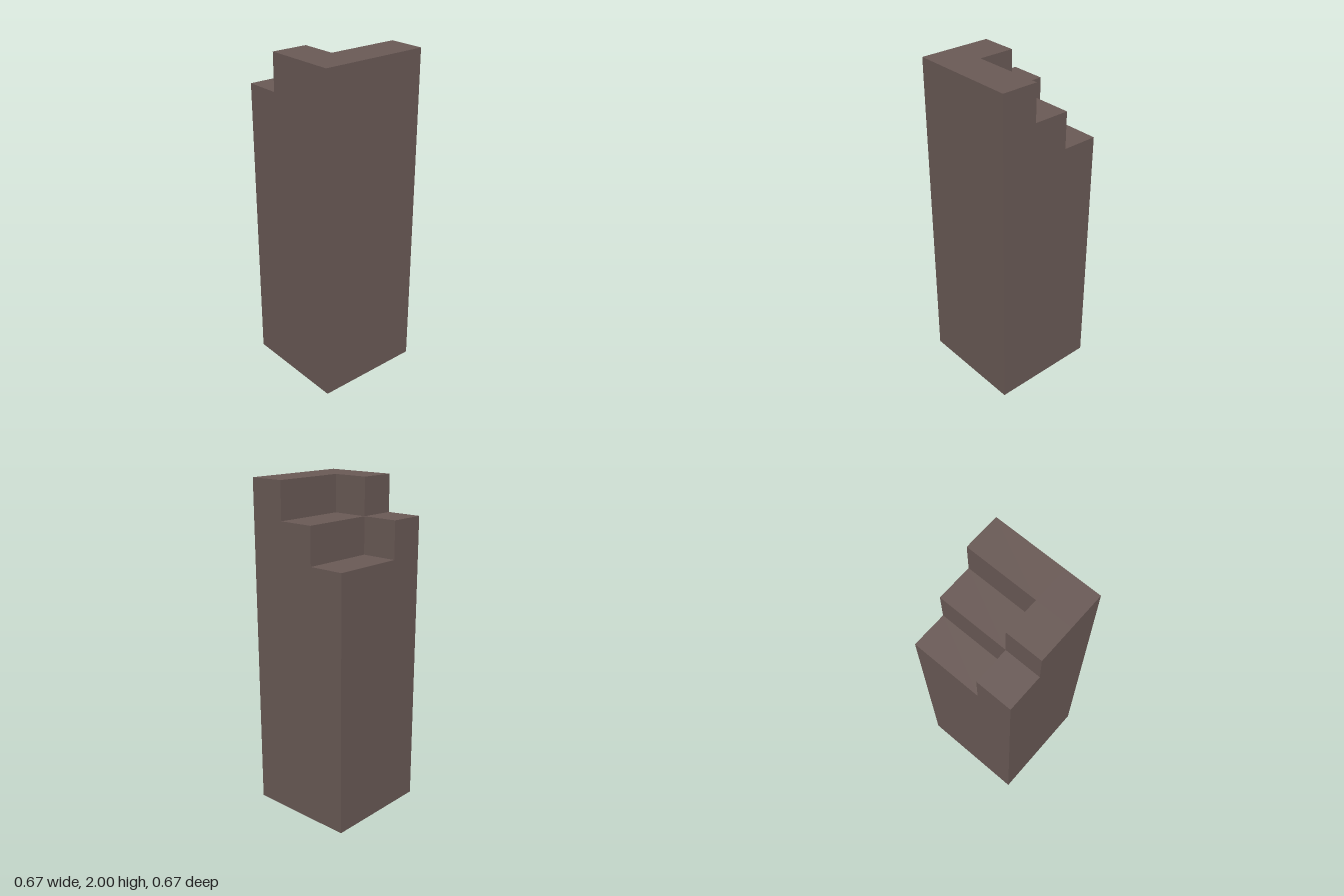
import * as THREE from 'three';

const HALF = 1 / 3; // half the pillar's width
const STEP = 2 / 9; // one step's width and height
const FULL = 2;

// Grid lines of the footprint, and the height of each cell (rows from back to front)
const XS = [-HALF, -HALF + STEP, HALF - STEP, HALF];
const ZS = [-HALF, HALF - STEP, HALF];
const HEIGHTS = [
  [FULL - 2 * STEP, FULL - STEP, FULL],
  [FULL - STEP, FULL, FULL],
];

// Closed solid with a stepped top: caps for each cell, walls where a cell stands above its neighbour
function steppedSolid() {
  const points = [];
  const quad = (a, b, c, d) => points.push(...a, ...b, ...c, ...a, ...c, ...d);
  const heightAt = (i, j) => HEIGHTS[j]?.[i] ?? 0;

  HEIGHTS.forEach((row, j) => row.forEach((top, i) => {
    const [x0, x1, z0, z1] = [XS[i], XS[i + 1], ZS[j], ZS[j + 1]];
    const wall = (low, xa, za, xb, zb) => {
      if (low < top) quad([xa, low, za], [xb, low, zb], [xb, top, zb], [xa, top, za]);
    };
    quad([x0, top, z1], [x1, top, z1], [x1, top, z0], [x0, top, z0]);
    wall(heightAt(i + 1, j), x1, z1, x1, z0);
    wall(heightAt(i - 1, j), x0, z0, x0, z1);
    wall(heightAt(i, j + 1), x0, z1, x1, z1);
    wall(heightAt(i, j - 1), x1, z0, x0, z0);
  }));

  // Underside
  quad([-HALF, 0, -HALF], [HALF, 0, -HALF], [HALF, 0, HALF], [-HALF, 0, HALF]);

  const geometry = new THREE.BufferGeometry();
  geometry.setAttribute('position', new THREE.Float32BufferAttribute(points, 3));
  geometry.computeVertexNormals();
  return geometry;
}

export function createModel() {
  const brown = new THREE.MeshStandardMaterial({ color: 0x6a5a56 });
  brown.name = 'greyBrown';

  const pillar = new THREE.Mesh(steppedSolid(), brown);
  pillar.name = 'steppedPillar';

  const model = new THREE.Group();
  model.name = 'brokenPillar';
  model.add(pillar);
  return model;
}
